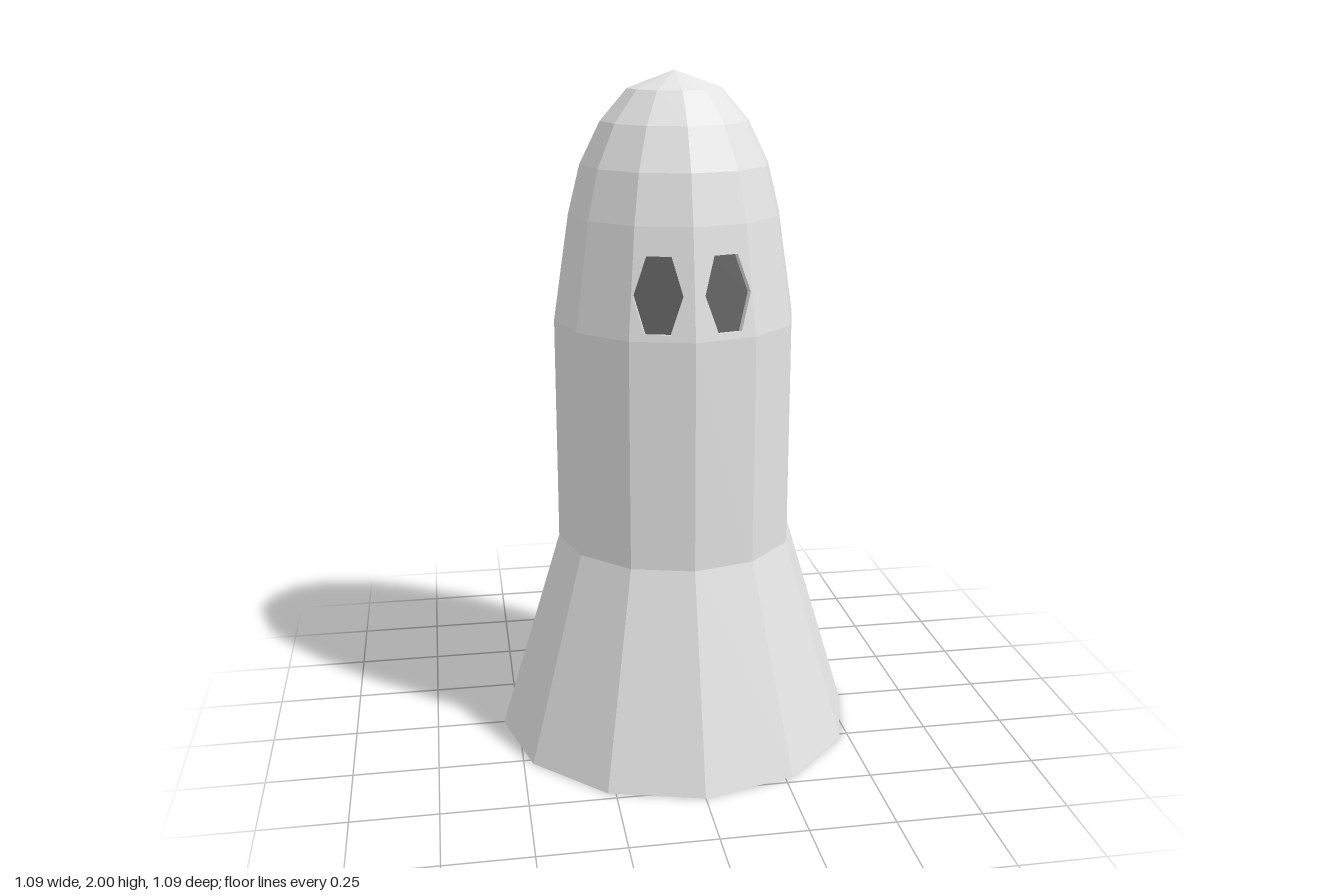
import * as THREE from 'three';

const SIDES = 12;
const STEP = (Math.PI * 2) / SIDES;
const HALF = STEP / 2;

const bodyMat = new THREE.MeshStandardMaterial({ color: 0xe4e4e4 });
bodyMat.name = 'pale grey';
const eyeMat = new THREE.MeshStandardMaterial({ color: 0x616161 });
eyeMat.name = 'dark grey';

// Faceted mesh: one normal per face
function part(name, geometry, material) {
  const geo = geometry.index ? geometry.toNonIndexed() : geometry;
  geo.computeVertexNormals();
  const mesh = new THREE.Mesh(geo, material);
  mesh.name = name;
  return mesh;
}

// Twelve-sided shell, optionally leaving out facets around the front
function shell(points, openFacets = 0) {
  const profile = points.map(([r, y]) => new THREE.Vector2(r, y));
  const start = (openFacets / 2) * STEP;
  return new THREE.LatheGeometry(profile, SIDES - openFacets, start, Math.PI * 2 - openFacets * STEP);
}

export function createModel() {
  const model = new THREE.Group();
  model.name = 'ghostFigure';

  const low = [0.357, 1.29];
  const high = [0.31, 1.6];

  // Closed base, flared skirt and straight trunk
  model.add(part('skirtAndTrunk', shell([[0, 0], [0.545, 0], [0.357, 0.62], low]), bodyMat));
  // Face band, open where the two eye panels go
  model.add(part('faceBand', shell([low, high], 2), bodyMat));
  // Rounded crown
  model.add(part('crown', shell([high, [0.275, 1.74], [0.215, 1.86], [0.137, 1.95], [0, 2]]), bodyMat));

  // Sloped front panels, each with a recessed hexagonal eye
  const rise = high[1] - low[1];
  const setback = (low[0] - high[0]) * Math.cos(HALF);
  const slant = Math.hypot(rise, setback);
  const w0 = low[0] * Math.sin(HALF);
  const w1 = high[0] * Math.sin(HALF);
  const depth = 0.02;

  for (const side of [1, -1]) {
    const hex = [
      [-0.022, 0.02], [0.049, 0.02], [0.083, 0.126],
      [0.049, 0.233], [-0.022, 0.233], [-0.056, 0.126],
    ].map(([u, v]) => new THREE.Vector2(u * side, v));

    const panel = new THREE.Shape([
      new THREE.Vector2(-w0, 0), new THREE.Vector2(w0, 0),
      new THREE.Vector2(w1, slant), new THREE.Vector2(-w1, slant),
    ]);
    panel.holes.push(new THREE.Path([...hex, hex[0].clone()]));

    const panelGeo = new THREE.ExtrudeGeometry(panel, { depth, bevelEnabled: false });
    panelGeo.translate(0, 0, -depth);
    const eyeGeo = new THREE.ShapeGeometry(new THREE.Shape(hex));
    eyeGeo.translate(0, 0, -depth + 0.001);

    const face = new THREE.Group();
    face.name = side > 0 ? 'leftEyePanel' : 'rightEyePanel';
    face.add(part('panel', panelGeo, bodyMat), part('eye', eyeGeo, eyeMat));
    const apothem = low[0] * Math.cos(HALF);
    face.position.set(side * apothem * Math.sin(HALF), low[1], apothem * Math.cos(HALF));
    face.rotation.set(-Math.atan2(setback, rise), side * HALF, 0, 'YXZ');
    model.add(face);
  }

  return model;
}
